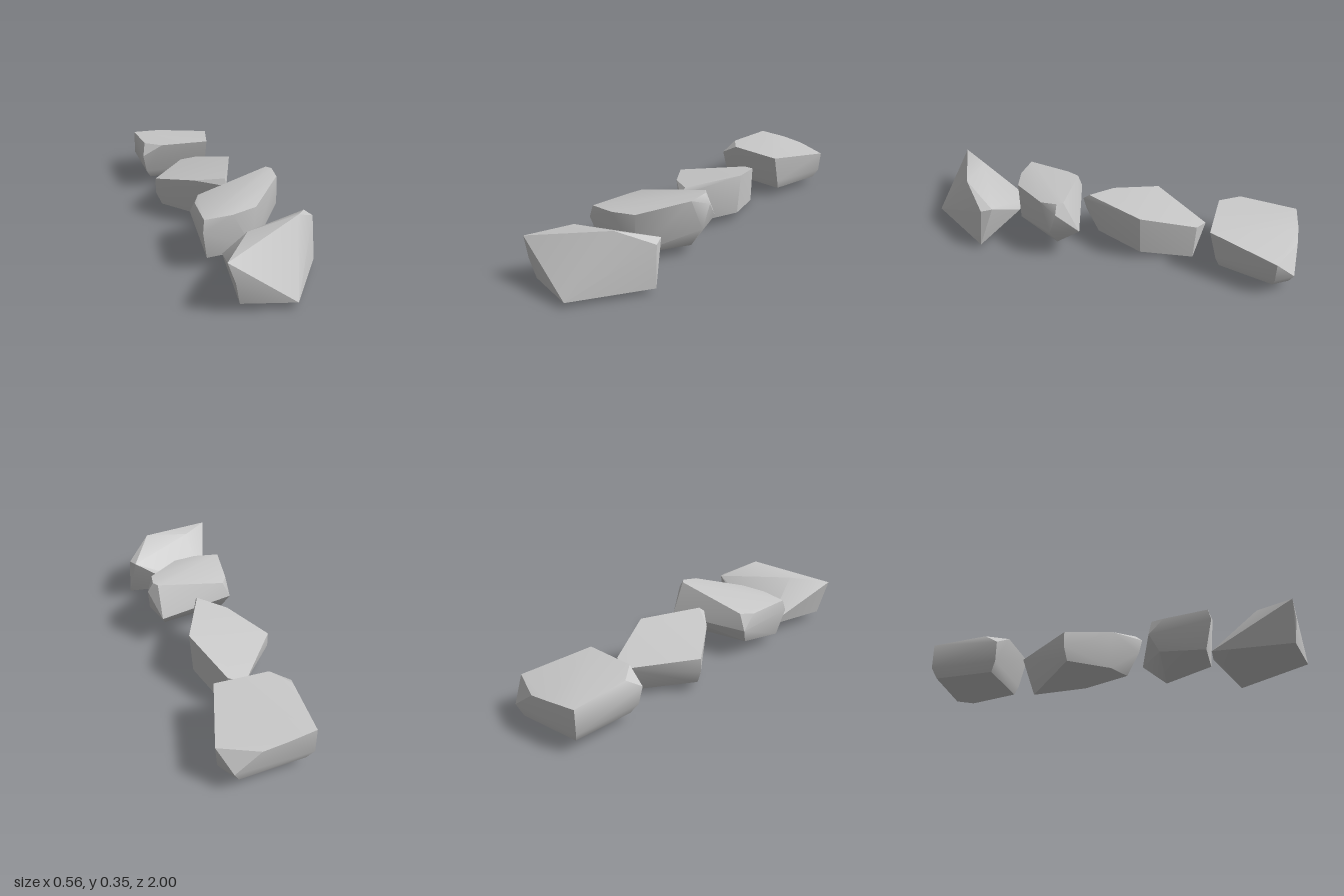
import * as THREE from 'three';
import { ConvexGeometry } from 'three/addons/geometries/ConvexGeometry.js';
import { toCreasedNormals } from 'three/addons/utils/BufferGeometryUtils.js';

// Corner points of each hewn stone, listed from its top to its base.
const stones = {
  frontStone: [
    [-0.28, 0.25, 0.945], [-0.12, 0.29, 0.77], [0.13, 0.33, 0.76], [0.25, 0.26, 0.575], [0.27, 0.25, 0.63],
    [-0.245, 0.15, 0.955], [0.1, 0.13, 0.55], [0, 0.09, 0.525], [-0.15, 0.07, 0.53],
    [0.278, 0.03, 0.65], [0.03, 0.03, 1], [-0.22, 0.04, 0.94],
  ],
  secondStone: [
    [0.215, 0.35, 0.19], [0.235, 0.35, 0.22], [0.22, 0.335, 0.31], [0.265, 0.3, 0.22], [0.03, 0.28, 0.51],
    [-0.1, 0.27, 0.54], [-0.24, 0.26, 0.53], [-0.17, 0.26, 0.23], [-0.21, 0.25, 0.3], [-0.21, 0.17, 0.22],
    [-0.25, 0.2, 0.545], [0.215, 0.18, 0.11], [0.25, 0.17, 0.26], [0.02, 0.06, 0.51],
    [0.17, 0.05, 0.25], [-0.18, 0.08, 0.27], [-0.22, 0.05, 0.51], [0, 0.04, 0.47],
  ],
  thirdStone: [
    [0.02, 0.28, 0.11], [0.16, 0.28, -0.2], [0.015, 0.25, 0.145], [-0.12, 0.25, 0.01], [0.05, 0.2, -0.48],
    [-0.03, 0.18, -0.515], [-0.27, 0.2, -0.21], [-0.27, 0.12, -0.21], [0, 0.17, 0.13],
    [0.14, 0.05, -0.2], [0.02, 0.05, 0.06], [-0.1, 0.05, 0], [-0.24, 0.05, -0.2], [0.05, 0, -0.47],
  ],
  backStone: [
    [-0.24, 0.2, -0.59], [-0.21, 0.255, -0.67], [-0.13, 0.265, -0.565], [0.15, 0.26, -0.56], [-0.2, 0.235, -0.97],
    [-0.05, 0.225, -0.99], [0.07, 0.21, -0.995], [0.26, 0.21, -0.91], [0.25, 0.1, -0.91], [0.2, 0.11, -1],
    [-0.2, 0.1, -0.97], [0.15, 0.1, -0.6], [-0.22, 0.1, -0.6], [-0.19, 0.05, -0.63], [0.14, 0.05, -0.62],
    [0.22, 0.05, -0.9], [0.17, 0.05, -0.98], [-0.17, 0.05, -0.95],
  ],
};

export function createModel() {
  const group = new THREE.Group();
  group.name = 'steppingStones';
  const stoneGrey = new THREE.MeshStandardMaterial({ color: 0xc8c8c8 });
  stoneGrey.name = 'stoneGrey';

  // Each stone is a faceted hull with gently blended shallow edges.
  for (const [name, corners] of Object.entries(stones)) {
    const hull = new ConvexGeometry(corners.map((c) => new THREE.Vector3(...c)));
    const mesh = new THREE.Mesh(toCreasedNormals(hull, 0.65), stoneGrey);
    mesh.name = name;
    group.add(mesh);
  }
  return group;
}
